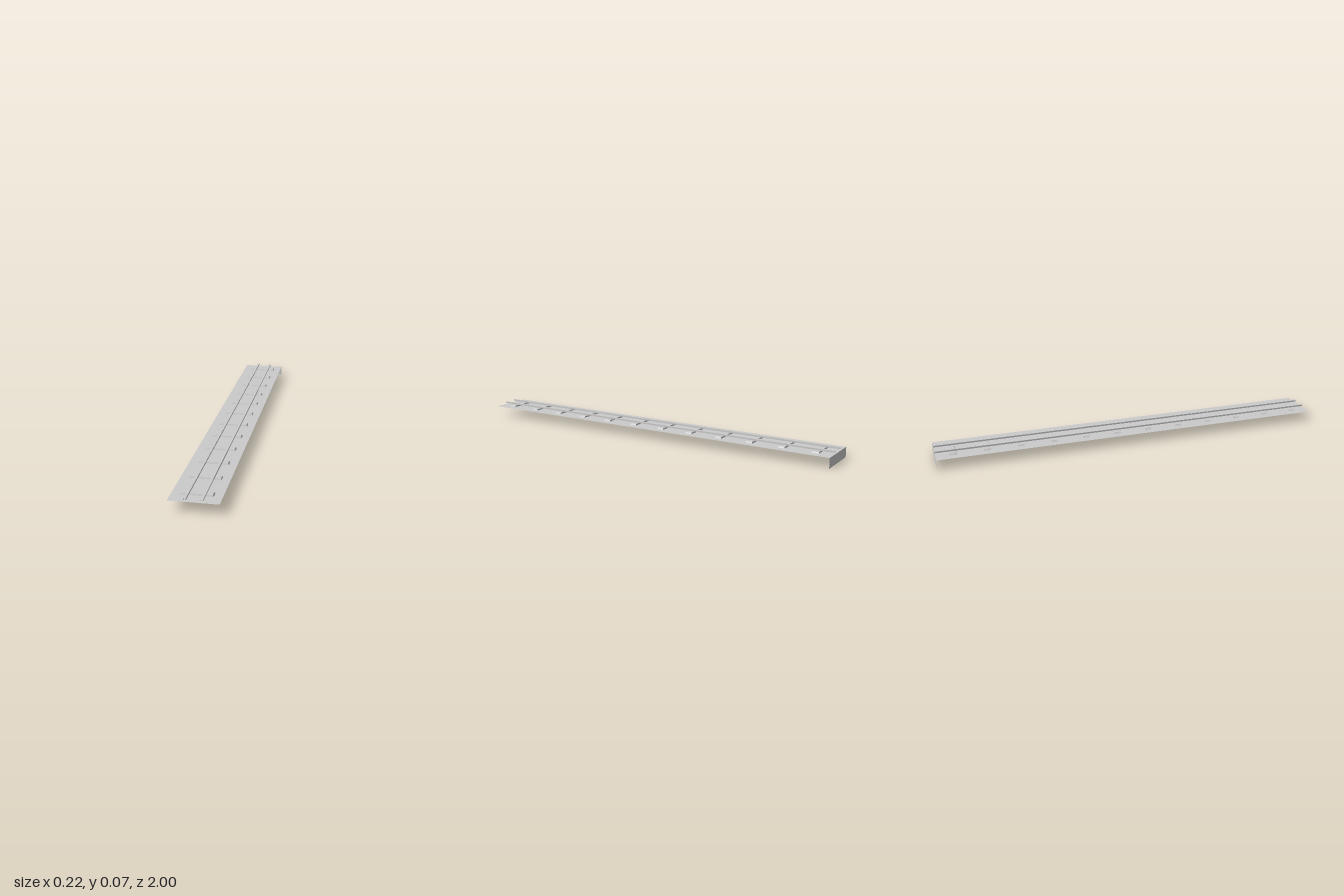
import * as THREE from 'three';

const LENGTH = 2, WIDTH = 0.222, DECK = 0.051;
const SLEEPERS = 12;

export function createModel() {
  const model = new THREE.Group();
  model.name = 'railTrack';
  const material = new THREE.MeshStandardMaterial({ color: 0xcccccc, side: THREE.DoubleSide });

  const add = (name, geometry, x, y, z) => {
    const mesh = new THREE.Mesh(geometry, material);
    mesh.name = name;
    mesh.position.set(x, y, z);
    model.add(mesh);
    return mesh;
  };

  // Thin track bed
  add('trackBed', new THREE.PlaneGeometry(WIDTH, LENGTH).rotateX(-Math.PI / 2), 0, DECK, 0);

  // Upright plate closing the rear end
  add('endPlate', new THREE.PlaneGeometry(WIDTH, DECK).rotateY(Math.PI), 0, DECK / 2, -LENGTH / 2);

  // Sleepers: low blocks with sloping ends and slightly sloping sides
  const height = 0.007;
  let sleeper = new THREE.BoxGeometry(0.146, height, 0.036);
  const p = sleeper.attributes.position;
  for (let i = 0; i < p.count; i++) {
    if (p.getY(i) > 0) {
      p.setX(i, Math.sign(p.getX(i)) * 0.068);
      p.setZ(i, Math.sign(p.getZ(i)) * 0.0155);
    }
  }
  sleeper.computeVertexNormals();
  const step = LENGTH / SLEEPERS;
  for (let i = 0; i < SLEEPERS; i++) {
    add('sleeper' + (i + 1), sleeper, 0, DECK + height / 2, -LENGTH / 2 + (i + 0.5) * step);
  }

  // Rails: open-ended bars resting on the sleepers
  const rail = new THREE.BoxGeometry(0.011, 0.008, LENGTH);
  // drop the two end caps (the last two of the six faces)
  rail.setIndex(Array.from(rail.index.array).slice(0, 24));
  rail.clearGroups();
  add('leftRail', rail, 0.036, 0.062, 0);
  add('rightRail', rail, -0.036, 0.062, 0);

  return model;
}
